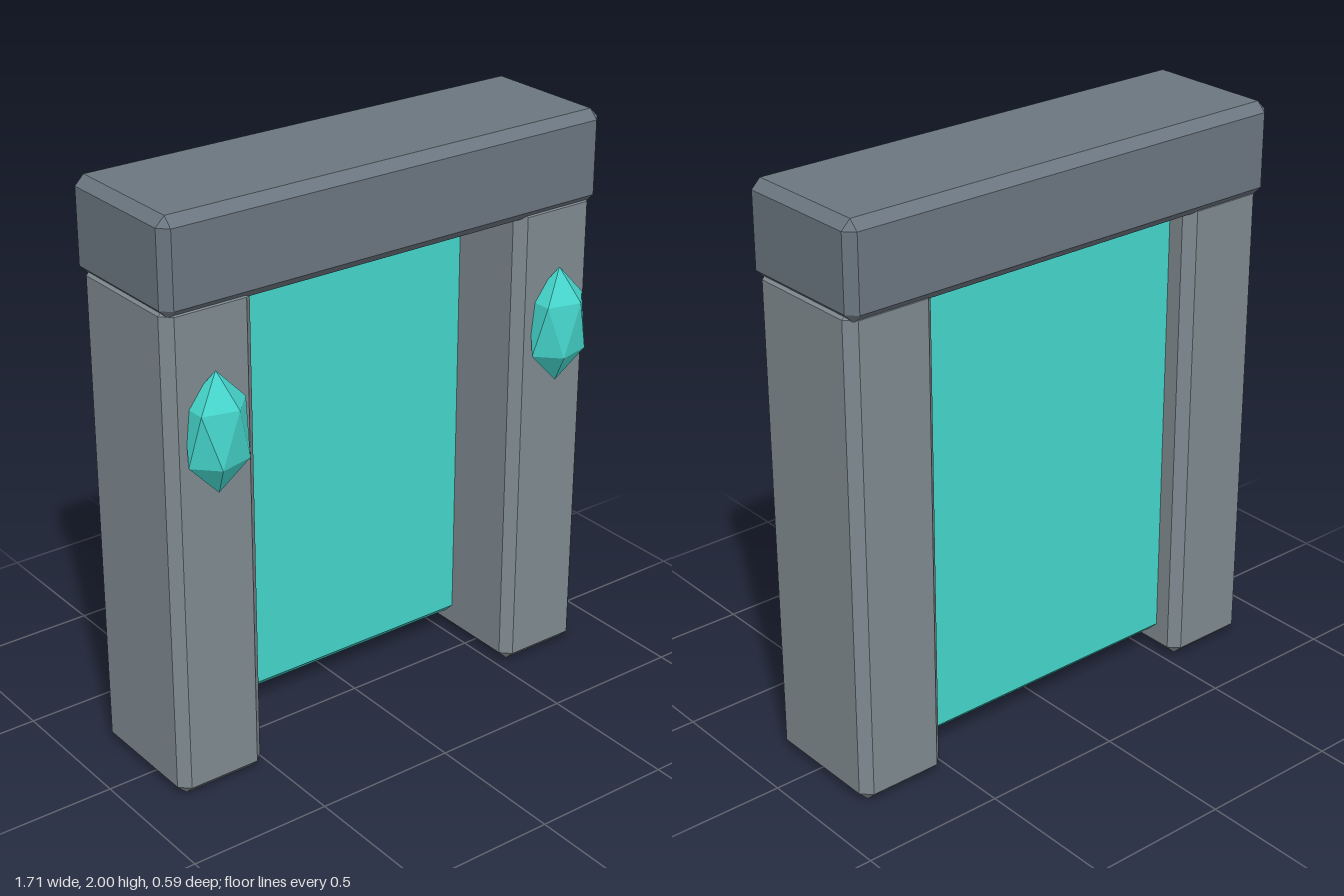
import * as THREE from 'three';
import { ConvexGeometry } from 'three/addons/geometries/ConvexGeometry.js';

const material = (color) => new THREE.MeshStandardMaterial({ color, flatShading: true });

// Box between two corners with every edge cut by a single flat chamfer
function chamferBox(name, [x0, y0, z0], [x1, y1, z1], c, mat) {
  const half = [(x1 - x0) / 2, (y1 - y0) / 2, (z1 - z0) / 2];
  const points = [];
  for (const sx of [-1, 1]) for (const sy of [-1, 1]) for (const sz of [-1, 1]) {
    for (let axis = 0; axis < 3; axis++) {
      // each corner becomes three points, one on each adjoining face
      const h = half.map((v, i) => (i === axis ? v : v - c));
      points.push(new THREE.Vector3(sx * h[0], sy * h[1], sz * h[2]));
    }
  }
  const mesh = new THREE.Mesh(new ConvexGeometry(points), mat);
  mesh.name = name;
  mesh.position.set((x0 + x1) / 2, (y0 + y1) / 2, (z0 + z1) / 2);
  return mesh;
}

// Stretched icosahedron standing on one point
function crystal(name, x, mat) {
  const geometry = new THREE.IcosahedronGeometry(1, 0);
  geometry.rotateZ(-Math.atan(2 / (1 + Math.sqrt(5))));
  geometry.scale(0.119, 0.205, 0.09);
  const mesh = new THREE.Mesh(geometry, mat);
  mesh.name = name;
  mesh.position.set(x, 1.285, 0.218);
  return mesh;
}

export function createModel() {
  const group = new THREE.Group();
  group.name = 'stoneGateway';
  const pillarStone = material(0x7f8a90);
  const lintelStone = material(0x6b7680);
  const glow = material(0x45d6cc);

  // Pillars and the crystals set in their fronts
  group.add(
    chamferBox('leftPillar', [0.52, 0, -0.27], [0.845, 1.72, 0.2], 0.034, pillarStone),
    chamferBox('rightPillar', [-0.845, 0, -0.27], [-0.52, 1.72, 0.2], 0.034, pillarStone),
    crystal('leftCrystal', 0.684, glow),
    crystal('rightCrystal', -0.684, glow)
  );

  // Lintel across the top
  group.add(chamferBox('lintel', [-0.853, 1.68, -0.292], [0.853, 2, 0.217], 0.032, lintelStone));

  // Thin glowing panel between the pillars, towards the back
  group.add(chamferBox('portalPanel', [-0.56, 0.07, -0.178], [0.56, 1.698, -0.1], 0.035, glow));

  return group;
}
